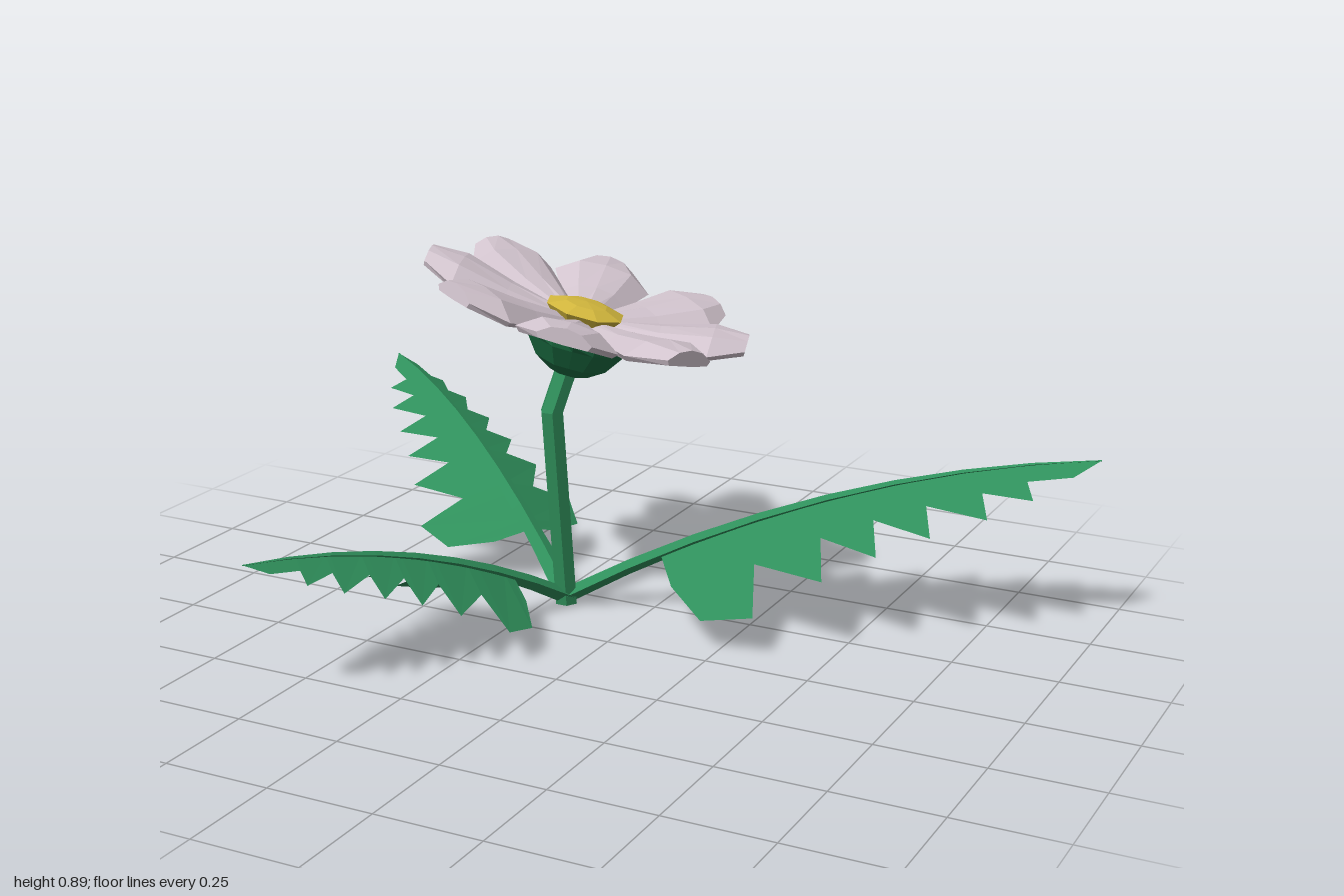
import * as THREE from 'three';

const mat = (name, color, side = THREE.FrontSide) => {
  const m = new THREE.MeshStandardMaterial({ color, side });
  m.name = name;
  return m;
};

// Flat-faced geometry from a list of triangles of [x, y, z] points
function faceted(tris) {
  const g = new THREE.BufferGeometry();
  g.setAttribute('position', new THREE.Float32BufferAttribute(tris.flat(2), 3));
  g.computeVertexNormals();
  return g;
}

// Closed solid through equal-sized rings of points, capped at both ends
function loft(rings) {
  const tris = [], n = rings[0].length;
  for (let i = 0; i + 1 < rings.length; i++) {
    for (let j = 0; j < n; j++) {
      const k = (j + 1) % n, a = rings[i], b = rings[i + 1];
      tris.push([a[j], a[k], b[k]], [a[j], b[k], b[j]]);
    }
  }
  const end = rings[rings.length - 1];
  for (let j = 1; j + 1 < n; j++) {
    tris.push([rings[0][0], rings[0][j + 1], rings[0][j]], [end[0], end[j], end[j + 1]]);
  }
  // Turn the solid the right way out if its volume is negative
  let volume = 0;
  for (const [a, b, c] of tris) {
    volume += new THREE.Vector3(...a).dot(new THREE.Vector3(...b).cross(new THREE.Vector3(...c)));
  }
  if (volume < 0) tris.forEach((t) => t.reverse());
  return faceted(tris);
}

function add(parent, name, geometry, material) {
  const m = new THREE.Mesh(geometry, material);
  m.name = name;
  parent.add(m);
  return m;
}

// Leaf along +x: an arching rib and two drooping toothed halves
function makeLeaf(length, height, leafGreen, ribGreen) {
  const leaf = new THREE.Group();
  leaf.name = 'leaf';
  const arch = (t) => 0.02 + height * (1.75 * t - 0.75 * t * t);
  const point = (t, w) => [t * length, arch(t) - 0.57 * w * length, w * length];

  // Outline as [distance along the leaf, half width], in leaf lengths
  const teeth = [[0.39, 0.22], [0.51, 0.182], [0.605, 0.155], [0.7, 0.135], [0.8, 0.112], [0.88, 0.08]];
  const outline = [[0.19, 0.01], [0.22, 0.09], [0.29, 0.19]];
  for (const [t, w] of teeth) outline.push([t, w], [t - 0.012, w * 0.47]);
  outline.push([0.95, 0.035], [1, 0]);

  const tris = [];
  for (const s of [1, -1]) {
    for (let i = 0; i + 1 < outline.length; i++) {
      const [[t0, w0], [t1, w1]] = [outline[i], outline[i + 1]];
      const a = point(t0 - 0.4 * w0, 0), b = point(t1 - 0.4 * w1, 0);
      const c = point(t0, w0), d = point(t1, w1);
      c[2] *= s;
      d[2] *= s;
      tris.push(...(s > 0 ? [[a, c, d], [a, d, b]] : [[a, d, c], [a, b, d]]));
    }
  }
  add(leaf, 'leafBlade', faceted(tris), leafGreen);

  const rings = [];
  for (let i = 0; i <= 8; i++) {
    const t = i / 8, r = 0.027 * (1 - t) + 0.002;
    const x = t * length, y = arch(t);
    rings.push([[x, y + r * 0.6, 0], [x, y, r], [x, y - r * 0.9, 0], [x, y, -r]]);
  }
  add(leaf, 'leafRib', loft(rings), ribGreen);
  return leaf;
}

// Petal along +x: an arched plate with lowered side edges and a blunt tip
function petalGeometry() {
  const stations = [[0.05, 0.03, -0.02], [0.18, 0.08, 0.005], [0.3, 0.118, 0.035], [0.38, 0.062, 0.04]];
  return loft(stations.map(([x, w, y]) => {
    const drop = w * 0.3, thick = 0.02;
    const top = [[-1, -drop], [-0.55, 0], [0, 0.006], [0.55, 0], [1, -drop]];
    const under = [[0.9, -drop - 0.012], [0, -thick - 0.012], [-0.9, -drop - 0.012]];
    return [...top, ...under].map(([z, dy]) => [x, y + dy, z * w]);
  }));
}

export function createModel() {
  const green = mat('leaf green', 0x2f8f5b);
  const blade = mat('blade green', 0x2f8f5b, THREE.DoubleSide);
  const darkGreen = mat('calyx green', 0x1c7044, THREE.DoubleSide);
  const pale = mat('petal lilac', 0xd2c4ce);
  const yellow = mat('centre yellow', 0xd6ba3e);

  const model = new THREE.Group();
  model.name = 'flower';
  const base = [-0.2, 0, -0.17];

  // Three leaves spreading from the foot: [tip x, tip z, rise]
  for (const [x, z, rise] of [[0.99, -0.53, 0.41], [-1, -0.7, 0.38], [-0.5, 0.71, 0.31]]) {
    const dx = x - base[0], dz = z - base[2];
    const leaf = makeLeaf(Math.hypot(dx, dz), rise, blade, green);
    leaf.position.set(...base);
    leaf.rotation.y = Math.atan2(-dz, dx);
    model.add(leaf);
  }

  // Six-sided stem with a bend below the bloom
  const path = [[-0.2, 0, -0.17], [-0.197, 0.5, -0.1], [-0.168, 0.62, -0.133]];
  add(model, 'stem', loft(path.map(([x, y, z]) => Array.from({ length: 6 }, (_, i) => {
    const a = (i * Math.PI) / 3;
    return [x + 0.029 * Math.cos(a), y, z + 0.029 * Math.sin(a)];
  }))), green);

  // Tilted bloom
  const bloom = new THREE.Group();
  bloom.name = 'bloom';
  bloom.position.set(-0.135, 0.74, -0.15);
  bloom.quaternion.setFromUnitVectors(
    new THREE.Vector3(0, 1, 0), new THREE.Vector3(0.24, 1, -0.1).normalize());
  model.add(bloom);

  const petal = petalGeometry();
  for (let i = 0; i < 8; i++) {
    add(bloom, 'petal', petal, pale).rotation.y = THREE.MathUtils.degToRad(20 + 45 * i);
  }

  // Low eight-sided dome in the middle
  const dome = [[0.07, -0.03], [0.095, 0], [0.05, 0.014], [0, 0.018]].map((p) => new THREE.Vector2(...p));
  const domeGeo = new THREE.LatheGeometry(dome, 8).toNonIndexed();
  domeGeo.computeVertexNormals();
  add(bloom, 'flowerCentre', domeGeo, yellow);

  // Cup under the petals, its rim pulled into eight points
  const cup = [[0, -0.155], [0.05, -0.153], [0.09, -0.125], [0.125, -0.075], [0.14, -0.03]];
  const cupGeo = new THREE.LatheGeometry(cup.map((p) => new THREE.Vector2(...p)), 16);
  const pos = cupGeo.attributes.position;
  for (let i = 0; i < pos.count; i++) {
    const column = Math.floor(i / cup.length), row = i % cup.length;
    if (column % 2 && row === cup.length - 1) pos.setY(i, -0.06);
    if (column % 2 && row > 0) {
      pos.setX(i, pos.getX(i) * 0.94);
      pos.setZ(i, pos.getZ(i) * 0.94);
    }
  }
  const cupFlat = cupGeo.toNonIndexed();
  cupFlat.computeVertexNormals();
  add(bloom, 'calyx', cupFlat, darkGreen);

  return model;
}
